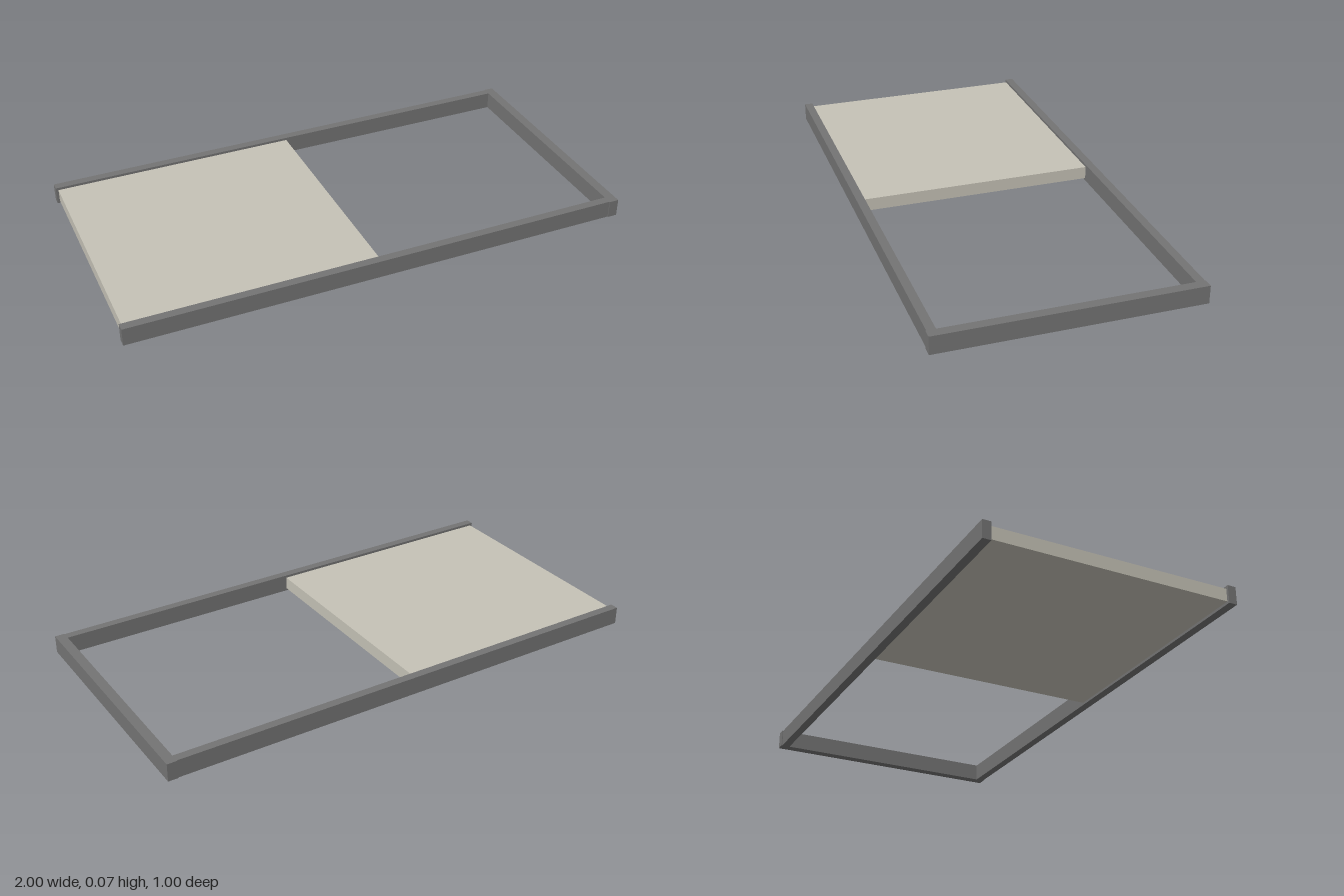
import * as THREE from 'three';

export function createModel() {
  const model = new THREE.Group();
  model.name = 'slidingPanelFrame';

  const frameGrey = new THREE.MeshStandardMaterial({ color: 0x747474 });
  frameGrey.name = 'frame grey';
  const panelBeige = new THREE.MeshStandardMaterial({ color: 0xc5c2b6 });
  panelBeige.name = 'panel beige';

  // Box given by its minimum and maximum corners
  const addBox = (name, material, [x0, y0, z0], [x1, y1, z1]) => {
    const mesh = new THREE.Mesh(new THREE.BoxGeometry(x1 - x0, y1 - y0, z1 - z0), material);
    mesh.position.set((x0 + x1) / 2, (y0 + y1) / 2, (z0 + z1) / 2);
    mesh.name = name;
    model.add(mesh);
  };

  const height = 0.07;
  const railInner = 0.463;
  const railOuter = 0.496;
  const endInner = 0.962;

  // Long side rails, open at the -x end
  addBox('frontRail', frameGrey, [-1, 0, railInner], [endInner, height, railOuter]);
  addBox('backRail', frameGrey, [-1, 0, -railOuter], [endInner, height, -railInner]);

  // End bar, slightly wider than the rails
  addBox('endBar', frameGrey, [endInner, 0, -0.499], [1, height, 0.499]);

  // Panel held between the rails, set in from their top and bottom
  addBox('panel', panelBeige, [-0.99, 0.01, -railInner], [-0.015, 0.06, railInner]);

  return model;
}
